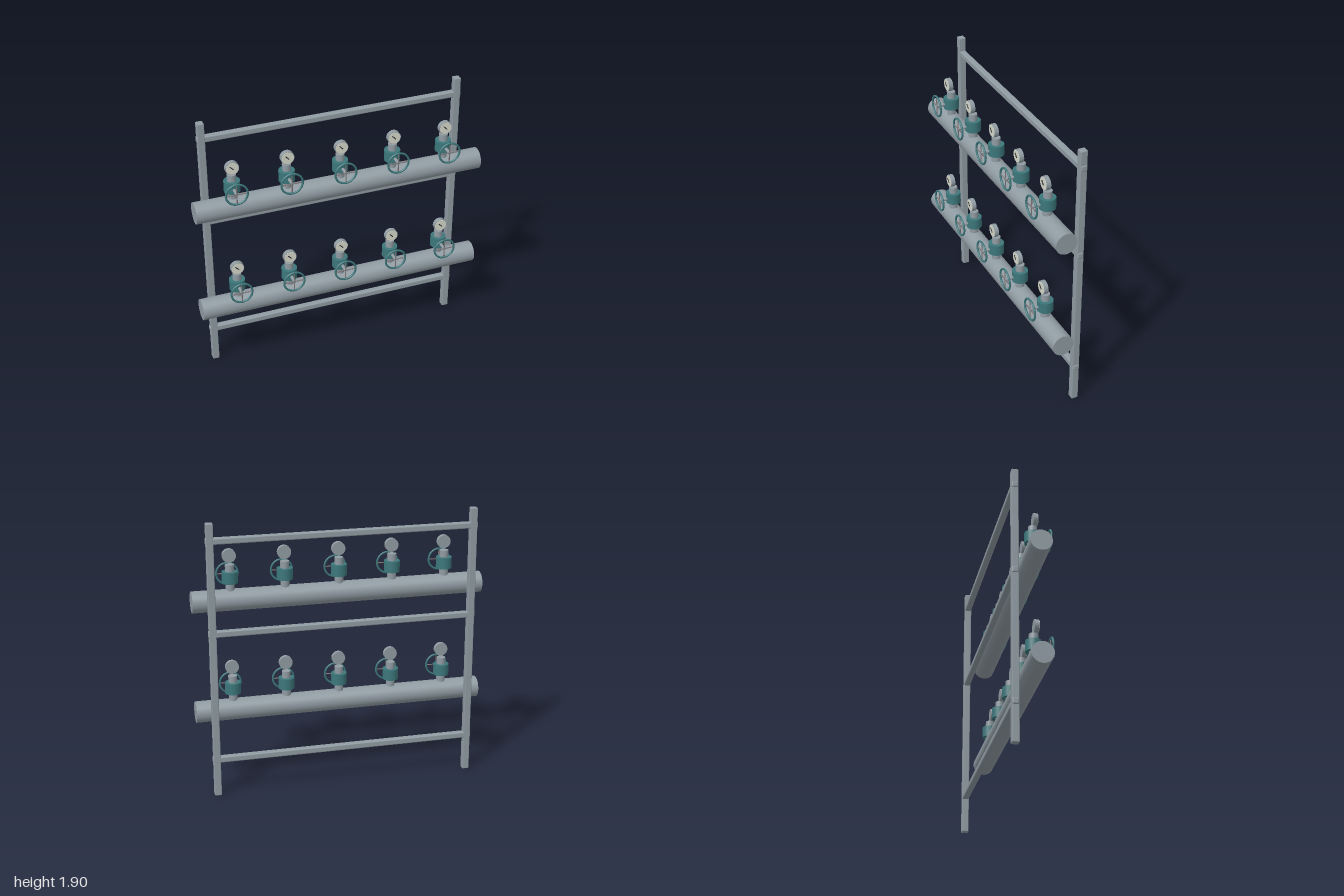
import * as THREE from 'three';
import { RoundedBoxGeometry } from 'three/addons/geometries/RoundedBoxGeometry.js';

const mat = (name, color) => {
  const m = new THREE.MeshStandardMaterial({ color });
  m.name = name;
  return m;
};

export function createModel() {
  const steel = mat('grey steel', 0x8f9ba2);
  const teal = mat('teal paint', 0x3c777b);
  const cream = mat('gauge face cream', 0xd6d8ca);
  const dark = mat('needle dark', 0x2b2d2f);
  const spokeMetal = mat('spoke metal', 0x7d7375);

  const add = (parent, name, geo, material, x = 0, y = 0, z = 0) => {
    const mesh = new THREE.Mesh(geo, material);
    mesh.name = name;
    mesh.position.set(x, y, z);
    parent.add(mesh);
    return mesh;
  };
  // cylinder along a chosen axis
  const rod = (r, len, axis = 'y', sides = 24) => {
    const g = new THREE.CylinderGeometry(r, r, len, sides);
    if (axis === 'x') g.rotateZ(Math.PI / 2);
    if (axis === 'z') g.rotateX(Math.PI / 2);
    return g;
  };

  const model = new THREE.Group();
  model.name = 'valveManifoldRack';

  // Support frame: two posts and three rails
  const frame = new THREE.Group();
  frame.name = 'frame';
  model.add(frame);
  for (const s of [-1, 1]) {
    add(frame, s > 0 ? 'leftPost' : 'rightPost',
      new RoundedBoxGeometry(0.048, 1.9, 0.048, 1, 0.006), steel, s * 0.888, 0.95, -0.121);
  }
  for (const y of [0.262, 1.155, 1.781]) {
    add(frame, 'rail', new RoundedBoxGeometry(1.834, 0.043, 0.044, 2, 0.009), steel, 0, y, -0.122);
  }

  // Shared valve geometries, with heights measured from the pipe axis
  const neckGeo = rod(0.03, 0.22);
  const bodyGeo = rod(0.054, 0.077);
  const stemGeo = rod(0.011, 0.07, 'z', 12);
  const rimGeo = new THREE.TorusGeometry(0.073, 0.007, 10, 32);
  const spokeGeo = rod(0.004, 0.146, 'y', 8);
  const gaugeGeo = rod(0.046, 0.03, 'z', 28);
  const dialGeo = rod(0.042, 0.004, 'z', 28);
  const needleGeo = new THREE.BoxGeometry(0.006, 0.034, 0.004);

  const makeValve = () => {
    const valve = new THREE.Group();
    valve.name = 'valve';
    add(valve, 'neck', neckGeo, steel, 0, 0.132);
    add(valve, 'valveBody', bodyGeo, teal, 0, 0.156);

    // Handwheel facing the front
    const wheel = new THREE.Group();
    wheel.name = 'handwheel';
    wheel.position.set(0, 0.15, 0.11);
    add(wheel, 'wheelStem', stemGeo, steel, 0, 0, -0.032);
    add(wheel, 'wheelRim', rimGeo, teal);
    for (const a of [0, Math.PI / 2]) {
      add(wheel, 'wheelSpoke', spokeGeo, spokeMetal).rotation.z = a;
    }
    valve.add(wheel);

    // Pressure gauge above the neck
    const gauge = new THREE.Group();
    gauge.name = 'gauge';
    gauge.position.set(0, 0.298, 0.016);
    add(gauge, 'gaugeCase', gaugeGeo, steel);
    add(gauge, 'gaugeDial', dialGeo, cream, 0, 0, 0.0155);
    add(gauge, 'gaugeNeedle', needleGeo, dark, -0.004, 0.005, 0.02).rotation.z = Math.PI / 4;
    valve.add(gauge);
    return valve;
  };

  // Two pipe rows, each with five valves
  for (const y of [0.557, 1.335]) {
    const row = new THREE.Group();
    row.name = 'pipeRow';
    row.position.set(0, y, 0.029);
    add(row, 'pipe', rod(0.073, 2, 'x', 36), steel);
    for (let i = -2; i <= 2; i++) {
      const valve = makeValve();
      valve.position.x = i * 0.37;
      row.add(valve);
    }
    model.add(row);
  }
  return model;
}
